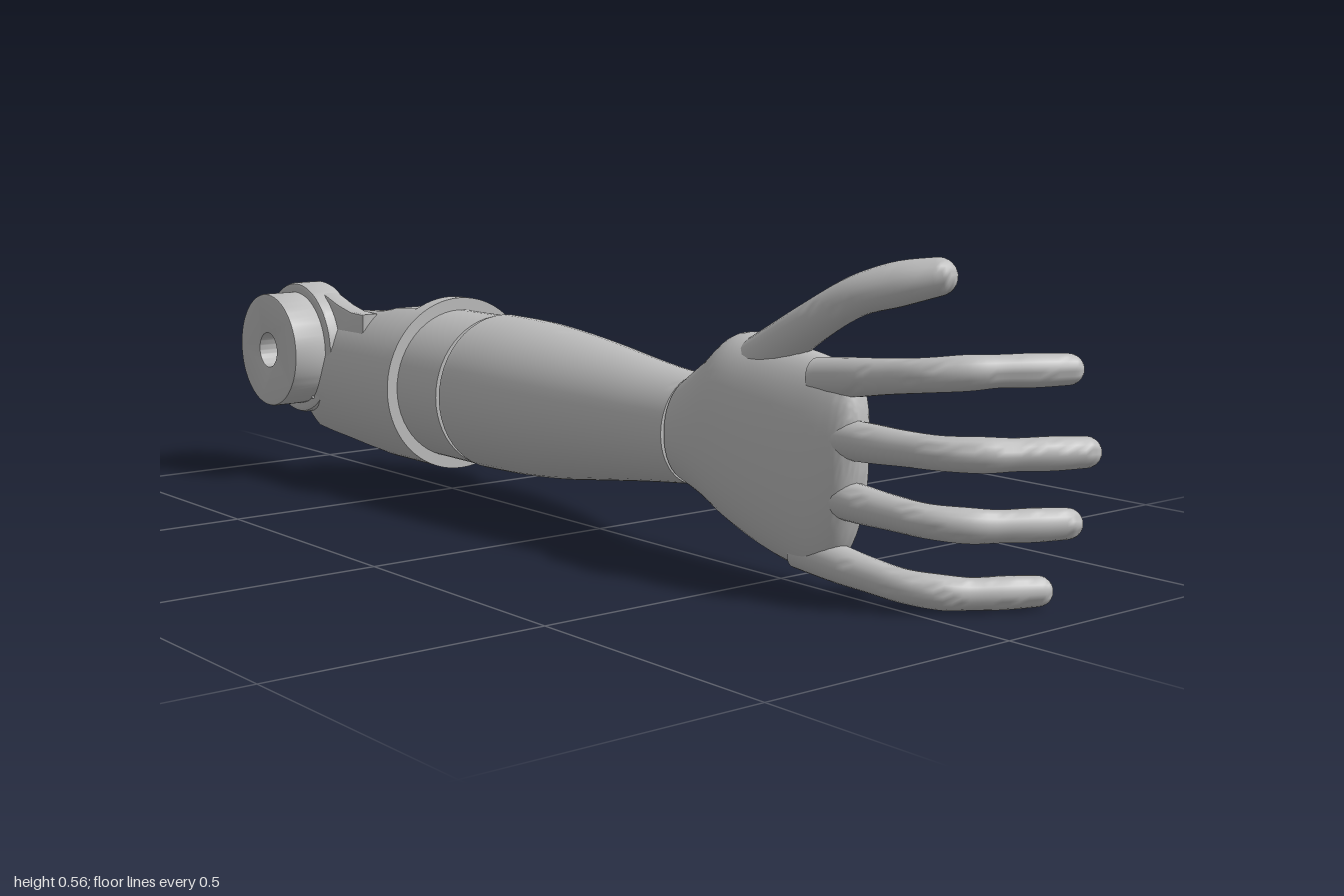
import * as THREE from 'three';
import { toCreasedNormals, mergeVertices } from 'three/addons/utils/BufferGeometryUtils.js';

// Closed skin over a list of rings (each ring turns from y to z around the direction of travel)
function loft(rings, crease = 0.6) {
  const n = rings[0].length;
  const pos = [];
  const idx = [];
  rings.forEach((ring) => ring.forEach((p) => pos.push(p.x, p.y, p.z)));
  for (let i = 0; i < rings.length - 1; i++) {
    for (let j = 0; j < n; j++) {
      const a = i * n + j, b = i * n + ((j + 1) % n);
      idx.push(a, b, a + n, b, b + n, a + n);
    }
  }
  [0, rings.length - 1].forEach((r, end) => {
    const c = rings[r].reduce((s, p) => s.add(p), new THREE.Vector3()).divideScalar(n);
    const ci = pos.length / 3;
    pos.push(c.x, c.y, c.z);
    for (let j = 0; j < n; j++) {
      const a = r * n + j, b = r * n + ((j + 1) % n);
      idx.push(ci, end ? a : b, end ? b : a);
    }
  });
  const g = new THREE.BufferGeometry();
  g.setAttribute('position', new THREE.Float32BufferAttribute(pos, 3));
  g.setIndex(idx);
  return toCreasedNormals(mergeVertices(g, 1e-5), crease);
}

// Smooth curve through rows of numbers, resampled
function resample(rows, count) {
  const out = [];
  for (let k = 0; k <= count; k++) {
    const f = (k / count) * (rows.length - 1);
    const i = Math.min(Math.floor(f), rows.length - 2), t = f - i;
    const at = (m) => rows[Math.max(0, Math.min(rows.length - 1, m))];
    out.push(rows[0].map((_, c) => {
      const p0 = at(i - 1)[c], p1 = at(i)[c], p2 = at(i + 1)[c], p3 = at(i + 2)[c];
      return 0.5 * (2 * p1 + (p2 - p0) * t + (2 * p0 - 5 * p1 + 4 * p2 - p3) * t * t
        + (3 * p1 - p0 - 3 * p2 + p3) * t * t * t);
    }));
  }
  return out;
}

// Rounded cross-section from a row of [x, top, bottom, front z, back z]
function section([x, top, bottom, front, back], mid = (front + back) / 2, powFront = 1, powBack = 1) {
  return Array.from({ length: 48 }, (_, j) => {
    const t = (j / 48) * Math.PI * 2, s = Math.sin(t), c = Math.cos(t);
    const p = s > 0 ? powFront : powBack;
    const y = (top + bottom) / 2 + ((top - bottom) / 2) * Math.sign(c) * Math.abs(c) ** p;
    return new THREE.Vector3(x, y, mid + ((s > 0 ? front : back) - mid) * Math.abs(s) ** p);
  });
}

// Round-tipped limb along rows of [x, y, z, radius]
function limb(rows, n = 20) {
  const pts = resample(rows, 28);
  const curve = pts.map((p) => new THREE.Vector3(p[0], p[1], p[2]));
  const rings = [];
  let tangent, N, B;
  const ring = (c, r) => Array.from({ length: n }, (_, j) => {
    const t = (j / n) * Math.PI * 2;
    return c.clone().addScaledVector(N, r * Math.cos(t)).addScaledVector(B, r * Math.sin(t));
  });
  curve.forEach((c, i) => {
    tangent = curve[Math.min(i + 1, 28)].clone().sub(curve[Math.max(i - 1, 0)]).normalize();
    N = new THREE.Vector3(0, 1, 0).addScaledVector(tangent, -tangent.y).normalize();
    B = tangent.clone().cross(N);
    rings.push(ring(c, pts[i][3]));
  });
  const end = curve[28], r = pts[28][3];
  for (let k = 1; k <= 6; k++) {
    const a = (k / 6.2) * Math.PI / 2;
    rings.push(ring(end.clone().addScaledVector(tangent, r * Math.sin(a)), r * Math.cos(a)));
  }
  return loft(rings, 1.2);
}

export function createModel() {
  const group = new THREE.Group();
  const grey = new THREE.MeshStandardMaterial({ color: 0xbcbcbc });
  grey.name = 'light grey plastic';
  const add = (name, geometry, x = 0, y = 0, z = 0) => {
    const m = new THREE.Mesh(geometry, grey);
    m.name = name;
    m.position.set(x, y, z);
    group.add(m);
    return m;
  };
  const extrude = (shape, depth, bevel) => toCreasedNormals(new THREE.ExtrudeGeometry(shape, {
    depth: depth - 2 * bevel, bevelEnabled: true, bevelSize: bevel, bevelThickness: bevel,
    bevelOffset: -bevel, bevelSegments: 2, curveSegments: 40,
  }), 0.5);
  const EX = -0.862, EY = 0.273;

  // Elbow pivot disc
  const disc = new THREE.Shape().absarc(EX, EY, 0.12, 0, Math.PI * 2);
  disc.holes.push(new THREE.Path().absarc(EX, EY, 0.036, 0, Math.PI * 2, true));
  add('elbowDisc', extrude(disc, 0.075, 0.004), 0, 0, 0.157);

  // Round bracket behind it, with a keyed recess, and the web joining it to the shell
  const bracket = new THREE.Shape().absarc(EX, EY, 0.14, 0, Math.PI * 2);
  const recess = new THREE.Path();
  for (let k = 0; k < 3; k++) {
    const a = -k * Math.PI * 2 / 3;
    recess.absarc(EX, EY, 0.045, a, a - 1.7, true);
    recess.absarc(EX, EY, 0.062, a - 1.7, a - 2.09, true);
  }
  bracket.holes.push(recess);
  add('elbowBracket', extrude(bracket, 0.07, 0.008), 0, 0, 0.095);
  const web = new THREE.Shape([[-0.79, 0.25], [-0.63, 0.25], [-0.63, 0.362], [-0.68, 0.364],
    [-0.73, 0.375], [-0.79, 0.394]].map(([x, y]) => new THREE.Vector2(x, y)));
  add('bracketWeb', extrude(web, 0.04, 0.006), 0, 0, 0.098);

  // Upper shell and collar: a cylinder cut by a stepped plane, rows of [x, cut z, top limit]
  const CY = 0.222, CZ = -0.015, R = 0.178;
  const cuts = [[-0.838, 0.117, 0.17], [-0.792, 0.108, 0.17], [-0.79, 0.108, 0.38], [-0.74, 0.1, 0.37],
    [-0.69, 0.086, 0.364], [-0.645, 0.055, 0.366], [-0.642, -0.085, 0.366], [-0.618, -0.1, 0.37],
    [-0.603, -0.165, 0.373], [-0.59, -0.178, 0.376], [-0.525, -0.18, 0.38], [-0.522, -0.18, 0.4],
    [-0.488, -0.175, 0.4]];
  add('elbowShell', loft(cuts.map(([x, cut, top]) => {
    const w = Math.sqrt(R * R - (cut - CZ) ** 2);
    return Array.from({ length: 72 }, (_, j) => {
      const t = (j / 72) * Math.PI * 2;
      let y = R * Math.cos(t), z = CZ + R * Math.sin(t);
      if (z < cut) {
        z = cut;
        y = Math.max(-w, Math.min(w, y));
      }
      return new THREE.Vector3(x, Math.min(CY + y, top), z);
    });
  }), 0.5));

  // Screw head and ribs on the back of the collar
  add('screwRing', new THREE.TorusGeometry(0.02, 0.004, 8, 24), -0.555, 0.17, -0.179);
  for (let k = 0; k < 3; k++) {
    add('collarRib', new THREE.BoxGeometry(0.02, 0.012, 0.008), -0.53, 0.25 + k * 0.022, -0.18);
  }

  // Turning cuff, its groove and the wrist joint
  const along = (name, r, x0, x1, y, z, sy = 1) => {
    const m = add(name, new THREE.CylinderGeometry(r, r, x1 - x0, 56), (x0 + x1) / 2, y, z);
    m.rotation.z = Math.PI / 2;
    m.scale.x = sy;
  };
  along('cuff', 0.153, -0.5, -0.346, CY, -0.013);
  along('cuffGroove', 0.145, -0.36, -0.32, CY, -0.015);
  along('wristJoint', 0.08, 0.28, 0.33, 0.235, 0.014, 1.15);

  // Tapering forearm
  const forearm = [[-0.335, 0.378, 0.066, 0.14, -0.172], [-0.22, 0.376, 0.07, 0.138, -0.168],
    [-0.1, 0.368, 0.08, 0.133, -0.152], [0.02, 0.357, 0.097, 0.126, -0.128],
    [0.14, 0.345, 0.115, 0.117, -0.096], [0.23, 0.336, 0.127, 0.109, -0.078],
    [0.302, 0.331, 0.135, 0.103, -0.07]];
  add('forearm', loft(resample(forearm, 30).map((r) => section(r))));

  // Hand with a domed back and a flatter palm
  const palm = [[0.307, 0.335, 0.135, 0.1, -0.068], [0.36, 0.375, 0.112, 0.101, -0.06],
    [0.41, 0.414, 0.083, 0.1, -0.053], [0.48, 0.409, 0.056, 0.096, -0.05],
    [0.55, 0.4, 0.037, 0.087, -0.049], [0.61, 0.39, 0.032, 0.073, -0.045],
    [0.65, 0.376, 0.075, 0.058, -0.036], [0.676, 0.352, 0.14, 0.045, -0.025],
    [0.69, 0.315, 0.215, 0.03, -0.01]];
  add('palm', loft(resample(palm, 36).map((r) => section(r, 0.005, 0.9, 0.65)), 0.9));

  // Four fingers curling toward the palm side: [name, base y, tip y, x shift, curl]
  [['indexFinger', 0.358, 0.389, -0.036, 0.98], ['middleFinger', 0.265, 0.262, 0, 1],
    ['ringFinger', 0.169, 0.145, -0.025, 0.96], ['littleFinger', 0.067, 0.0275, -0.073, 0.92],
  ].forEach(([name, y0, y1, dx, curl]) => {
    const path = [[0.64, 0.02, 0.034], [0.72, 0.012, 0.032], [0.78, 0.002, 0.029], [0.842, -0.015, 0.028],
      [0.89, -0.056, 0.029], [0.918, -0.1, 0.0265], [0.945, -0.15, 0.0275], [0.97, -0.203, 0.0255]];
    add(name, limb(path.map(([x, z, r]) => {
      const f = Math.min(1, (x - 0.64) / 0.27);
      return [x + dx, y0 + (y1 - y0) * f, z < 0 ? z * curl : z, r];
    })));
  });

  // Thumb
  add('thumb', limb([[0.42, 0.345, 0.02, 0.045], [0.5, 0.395, 0.018, 0.04], [0.58, 0.447, 0.01, 0.035],
    [0.65, 0.492, -0.014, 0.034], [0.705, 0.514, -0.055, 0.037], [0.752, 0.527, -0.096, 0.032]]));
  return group;
}
